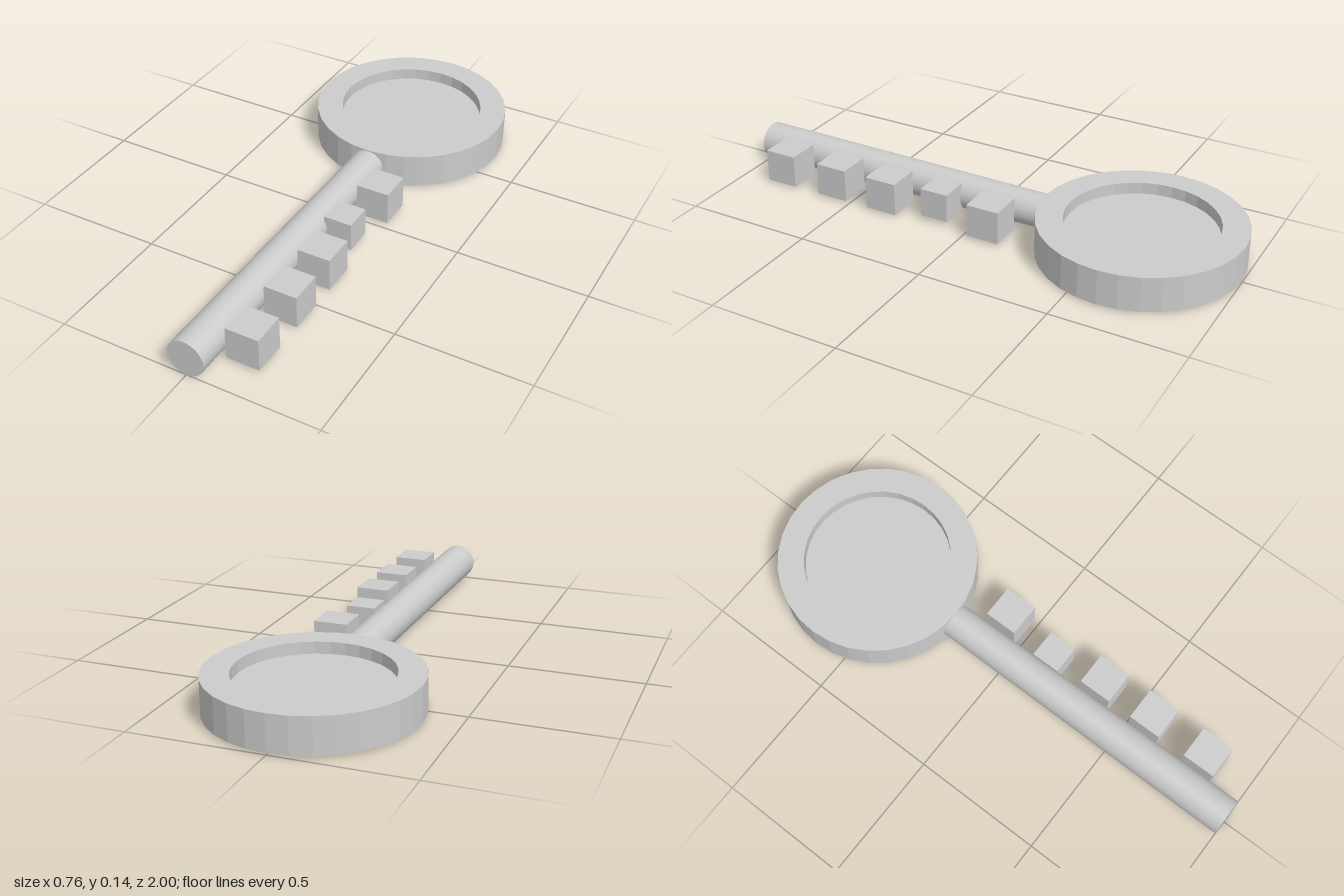
import * as THREE from 'three';

export function createModel() {
  const group = new THREE.Group();
  const flat = new THREE.MeshStandardMaterial({ color: 0xcccccc, flatShading: true });
  const smooth = new THREE.MeshStandardMaterial({ color: 0xcccccc });

  function add(name, geometry, material, x, y, z) {
    const mesh = new THREE.Mesh(geometry, material);
    mesh.name = name;
    mesh.position.set(x, y, z);
    group.add(mesh);
    return mesh;
  }

  // Round bow: solid disc with a shallow recess in its top
  const profile = [
    [0, 0.007], [0.38, 0.007], [0.38, 0.14], [0.28, 0.14], [0.28, 0.095], [0, 0.095],
  ].map(([r, y]) => new THREE.Vector2(r, y));
  add('bow', new THREE.LatheGeometry(profile, 32), flat, 0, 0, -0.62);

  // Slightly tapered shaft, its wide end at the front
  const back = -0.26, front = 1;
  const shaft = new THREE.CylinderGeometry(0.071, 0.065, front - back, 32);
  shaft.rotateX(Math.PI / 2);
  add('shaft', shaft, smooth, 0, 0.071, (front + back) / 2);

  // Row of square teeth along the left side: [x, z, size]
  const teeth = [
    [0.138, -0.085, 0.128], [0.11, 0.14, 0.111], [0.138, 0.352, 0.128],
    [0.138, 0.575, 0.128], [0.138, 0.813, 0.128],
  ];
  teeth.forEach(([x, z, size], i) => {
    add(`tooth${i + 1}`, new THREE.BoxGeometry(size, size, size), flat, x, 0.073, z);
  });

  return group;
}
